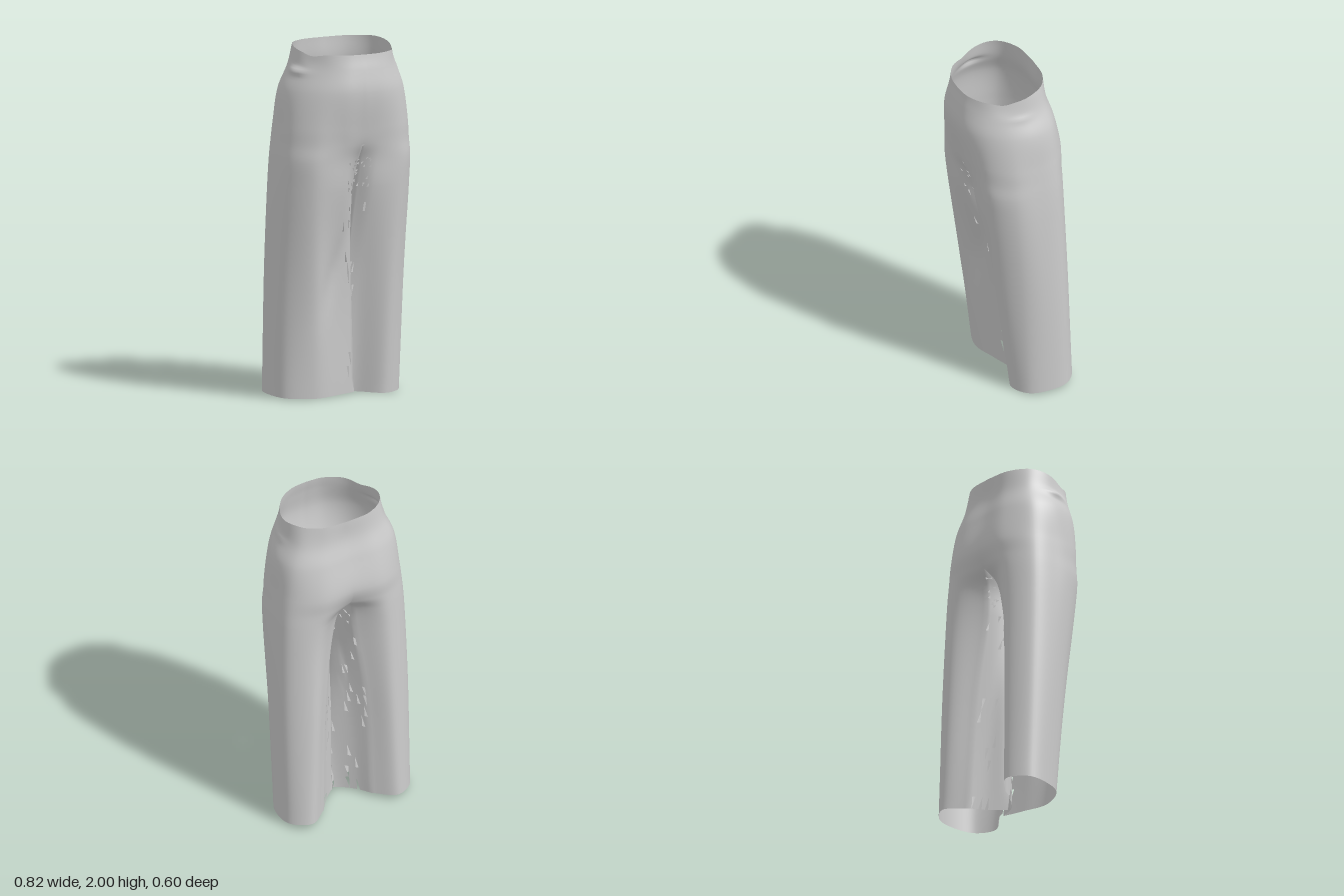
import * as THREE from 'three';
import { mergeVertices } from 'three/addons/utils/BufferGeometryUtils.js';

// Half cross-sections [x, z] running front centre -> side -> back centre
const LEVELS = [2, 1.88, 1.75, 1.55, 1.45, 1.36, 1.2, 0.7, 0];
const OUTER = [
  [[0, .27], [.1, .258], [.2, .2], [.272, .08], [.29, -.02], [.25, -.12], [.15, -.185], [0, -.2]],
  [[0, .287], [.11, .272], [.21, .21], [.288, .1], [.308, -.03], [.27, -.14], [.15, -.2], [0, -.202]],
  [[0, .3], [.13, .285], [.25, .215], [.335, .1], [.36, -.03], [.32, -.16], [.18, -.235], [0, -.235]],
  [[0, .266], [.13, .262], [.27, .215], [.365, .1], [.38, -.03], [.35, -.17], [.2, -.27], [0, -.27]],
  [[0, .24], [.11, .245], [.27, .214], [.372, .1], [.388, -.03], [.36, -.175], [.2, -.267], [0, -.235]],
  [[.004, .195], [.1, .225], [.28, .211], [.38, .1], [.395, -.03], [.367, -.18], [.21, -.263], [.04, -.175]],
  [[.01, .14], [.09, .198], [.27, .2], [.38, .09], [.402, -.04], [.375, -.185], [.23, -.262], [.065, -.15]],
];
// Inside-leg points, back -> front, from the crotch down
const INNER = [
  [[0, -.08], [0, .08]],
  [[.02, -.07], [.004, .06]],
  [[.03, -.07], [.008, .04]],
];
// Lower legs: the right one laps in front of the left one
const LOWER = {
  left: {
    outer: [
      [[0, .04], [.08, .075], [.24, .145], [.367, .05], [.407, -.07], [.385, -.205], [.25, -.278], [.13, -.18]],
      [[.01, -.045], [.1, -.028], [.24, .062], [.355, .01], [.397, -.1], [.385, -.225], [.28, -.296], [.16, -.21]],
    ],
    inner: [[[.07, -.1], [.015, -.03]], [[.1, -.13], [.035, -.065]]],
  },
  right: {
    outer: [
      [[-.03, .05], [.09, .085], [.24, .142], [.367, .05], [.407, -.07], [.385, -.205], [.25, -.278], [.13, -.18]],
      [[-.085, -.015], [.05, .025], [.2, .06], [.355, 0], [.397, -.1], [.387, -.225], [.27, -.298], [.15, -.2]],
    ],
    inner: [[[.07, -.09], [0, -.01]], [[.1, -.12], [.01, -.04]]],
  },
};
const CROTCH = 4, LAST = LEVELS.length - 1, STEPS = 9;

const columns = (table, first) => table[0].map((_, k) => new THREE.CatmullRomCurve3(
  table.map((row, i) => new THREE.Vector3(row[k][0], LEVELS[i + first], row[k][1]))));
const bell = (v, width) => Math.exp(-((v / width) ** 2));

// Drape: wavy waist and hem, bunched cloth at the hip and a front fold
function drape(p, side) {
  let { x, y, z } = p;
  const h = p.y;
  const waist = THREE.MathUtils.smoothstep(h, 1.85, 2);
  y -= waist * (0.035 * THREE.MathUtils.smoothstep(z, -.12, .12) + 0.012 * bell(z - .12, .05));
  y += 0.03 * THREE.MathUtils.smoothstep(0.4 - h, 0, 0.4) * (0.06 - z) / 0.36;
  const flank = THREE.MathUtils.smoothstep(x, 0.2, 0.3);
  x += (side < 0 ? 0.02 : 0.005) * flank * bell(h - 1.865, 0.02) * bell(z - 0.03, 0.07);
  if (side < 0 && h < 1.1 && z > -.06) {
    z -= 0.015 * bell(x - 0.36 * (1 - h), 0.055) * bell(h - 0.72, 0.25);
  }
  return new THREE.Vector3(x * side, y, z);
}

// Rows of draped points for one side; the outer and inner walls share end columns
function walls(side) {
  const lower = side > 0 ? LOWER.left : LOWER.right;
  const outerCols = columns([...OUTER, ...lower.outer], 0);
  const innerCols = columns([...INNER, ...lower.inner], CROTCH);
  const outer = [], inner = [];
  for (let i = 0; i <= LAST * STEPS; i++) {
    const ring = outerCols.map(c => c.getPoint(i / (LAST * STEPS)));
    outer.push(new THREE.CatmullRomCurve3(ring).getPoints(56).map(p => drape(p, side)));
    const j = i - CROTCH * STEPS;
    if (j < 0) continue;
    const mid = innerCols.map(c => c.getPoint(j / ((LAST - CROTCH) * STEPS)));
    const inside = new THREE.CatmullRomCurve3([ring[7], ...mid, ring[0]]);
    inner.push(inside.getPoints(16).map(p => drape(p, side)));
  }
  return { outer, inner };
}

let seed = 7;
const random = () => (seed = (seed * 16807) % 2147483647) / 2147483647;

// Triangles of a grid of rows; the first wornColumns lose some of them
function skin(rows, side, wornColumns, out) {
  const tri = (j, a, b, c) => {
    if (j < wornColumns && random() < 0.05) return;
    for (const p of side > 0 ? [a, b, c] : [a, c, b]) out.push(p.x, p.y, p.z);
  };
  for (let i = 0; i + 1 < rows.length; i++) {
    for (let j = 0; j + 1 < rows[i].length; j++) {
      const a = rows[i][j], b = rows[i][j + 1], c = rows[i + 1][j], d = rows[i + 1][j + 1];
      tri(j, a, c, b);
      tri(j, b, c, d);
    }
  }
}

export function createModel() {
  const group = new THREE.Group();
  group.name = 'trousers';
  const material = new THREE.MeshStandardMaterial({ color: 0xcccccc, side: THREE.DoubleSide });
  const left = walls(1), right = walls(-1);
  const split = CROTCH * STEPS;
  const positions = [], parts = [];
  const part = (name, fill) => {
    const start = positions.length / 3;
    fill();
    parts.push({ name, start, end: positions.length / 3 });
  };

  // Hips and waist
  part('hips', () => {
    skin(left.outer.slice(0, split + 1), 1, 0, positions);
    skin(right.outer.slice(0, split + 1), -1, 0, positions);
  });
  // Wide legs, worn along the front slit and the inside walls
  for (const [name, wall, side] of [['leftLeg', left, 1], ['rightLeg', right, -1]]) {
    part(name, () => {
      skin(wall.outer.slice(split), side, 6, positions);
      skin(wall.inner, side, 16, positions);
    });
  }

  // Weld everything so the shading runs smoothly between parts
  let cloth = new THREE.BufferGeometry();
  cloth.setAttribute('position', new THREE.Float32BufferAttribute(positions, 3));
  cloth = mergeVertices(cloth, 1e-4);
  cloth.computeVertexNormals();
  for (const { name, start, end } of parts) {
    const geometry = new THREE.BufferGeometry();
    geometry.setAttribute('position', cloth.attributes.position);
    geometry.setAttribute('normal', cloth.attributes.normal);
    geometry.setIndex(Array.from(cloth.index.array.slice(start, end)));
    const mesh = new THREE.Mesh(geometry, material);
    mesh.name = name;
    group.add(mesh);
  }
  return group;
}
